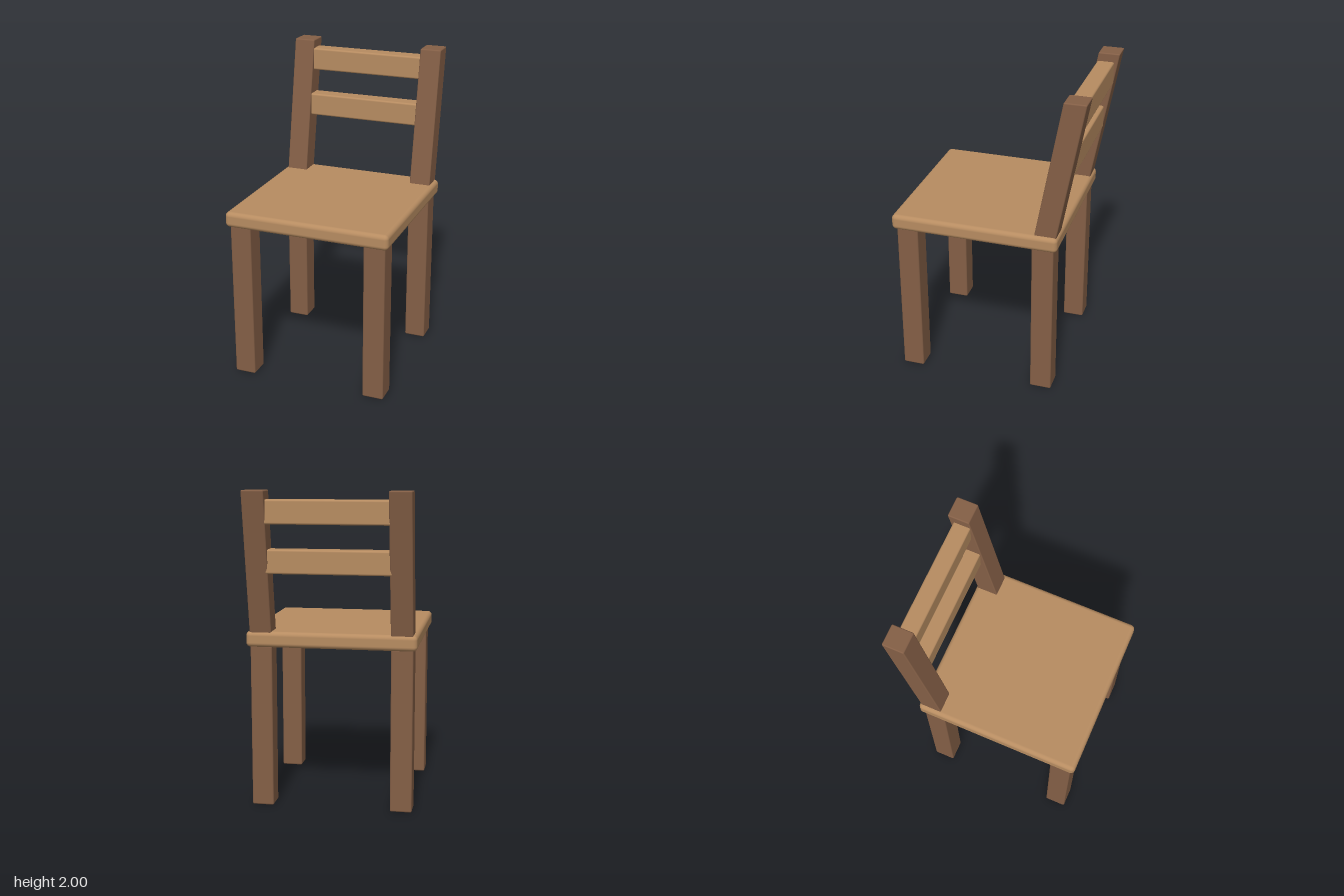
import * as THREE from 'three';
import { RoundedBoxGeometry } from 'three/addons/geometries/RoundedBoxGeometry.js';

export function createModel() {
  const chair = new THREE.Group();
  chair.name = 'chair';

  const lightWood = new THREE.MeshStandardMaterial({ color: 0xb78c61 });
  lightWood.name = 'lightWood';
  const darkWood = new THREE.MeshStandardMaterial({ color: 0x845f46 });
  darkWood.name = 'darkWood';

  // Rounded block given by its lower and upper corners
  function block(name, material, min, max, radius, segments = 2) {
    const size = max.map((v, i) => v - min[i]);
    const geometry = new RoundedBoxGeometry(...size, segments, radius);
    const mesh = new THREE.Mesh(geometry, material);
    mesh.position.set(...min.map((v, i) => (v + max[i]) / 2));
    mesh.name = name;
    chair.add(mesh);
    return mesh;
  }

  // Seat
  block('seat', lightWood, [-0.535, 1.028, -0.46], [0.535, 1.127, 0.612], 0.028, 4);

  // Posts lean back as a shear, so their tops stay level
  const lean = 0.184;
  const shear = new THREE.Matrix4().set(
    1, 0, 0, 0,
    0, 1, 0, 0,
    0, -lean, 1, 0,
    0, 0, 0, 1
  );

  for (const [side, x] of [['Left', 0.442], ['Right', -0.442]]) {
    const x0 = x - 0.069, x1 = x + 0.069;
    block('frontLeg' + side, darkWood, [x0, 0, 0.445], [x1, 1.035, 0.584], 0.01);
    block('backLeg' + side, darkWood, [x0, 0, -0.435], [x1, 1.035, -0.296], 0.01);

    const post = block('backPost' + side, darkWood, [x0, 1.08, -0.526], [x1, 2, -0.388], 0.008);
    post.geometry.applyMatrix4(shear);
  }

  // Back rails between the posts
  block('upperRail', lightWood, [-0.39, 1.797, -0.575], [0.39, 1.945, -0.465], 0.012);
  block('lowerRail', lightWood, [-0.39, 1.494, -0.522], [0.39, 1.643, -0.413], 0.012);

  return chair;
}
